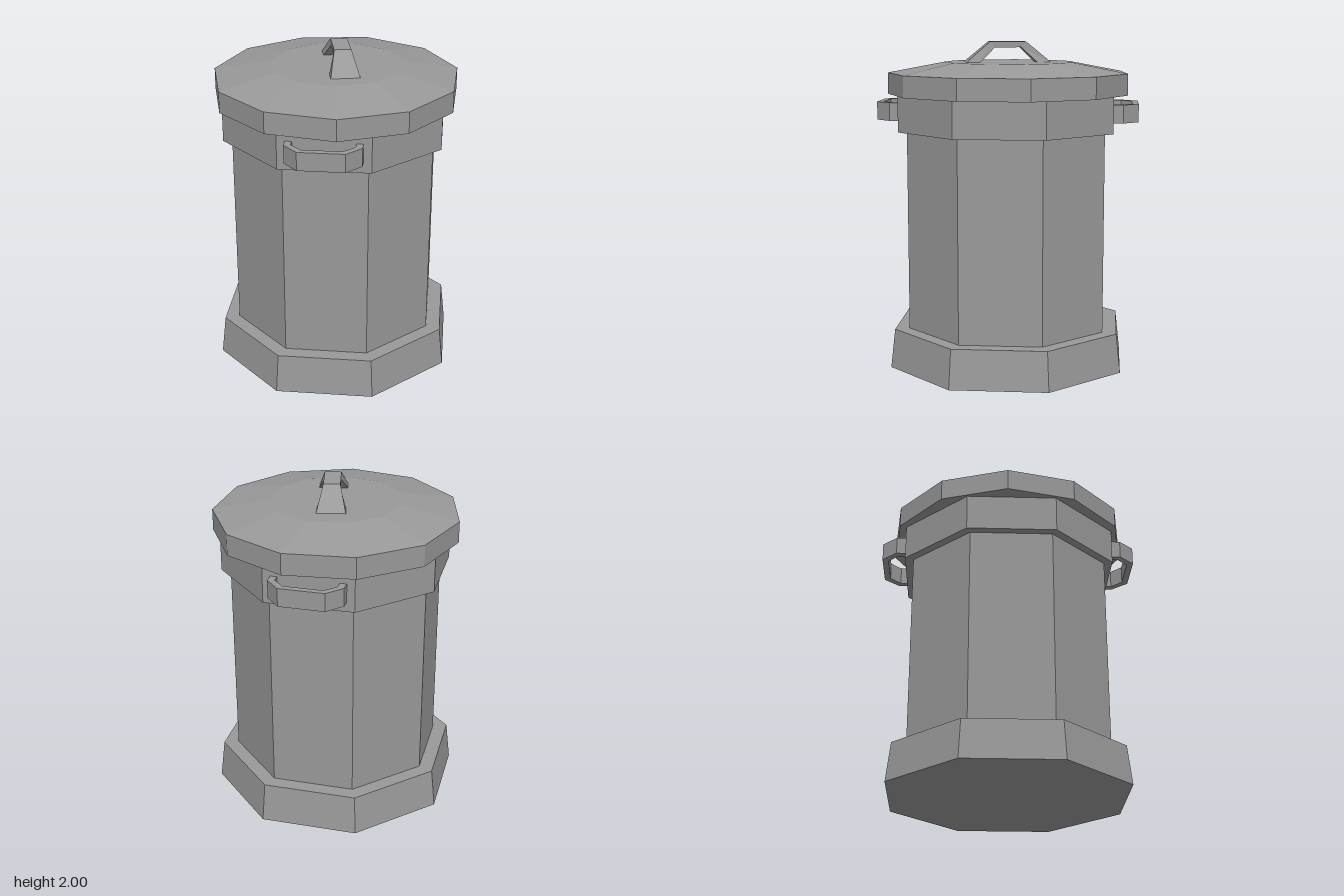
import * as THREE from 'three';

export function createModel() {
  const group = new THREE.Group();
  group.name = 'dustbin';
  const metal = new THREE.MeshStandardMaterial({ color: 0x999999, flatShading: true });
  metal.name = 'grey metal';

  const add = (name, geometry) => {
    const mesh = new THREE.Mesh(geometry, metal);
    mesh.name = name;
    group.add(mesh);
    return mesh;
  };
  const polygon = (points) => new THREE.Shape(points.map(([x, y]) => new THREE.Vector2(x, y)));
  // mirrors a half outline across x = 0
  const mirrored = (outer, inner) => polygon([
    ...outer,
    ...outer.slice().reverse().map(([x, y]) => [-x, y]),
    ...inner.map(([x, y]) => [-x, y]),
    ...inner.slice().reverse(),
  ]);

  // eight-sided base, body and rim
  const drum = (name, rTop, rBottom, y0, y1) => {
    add(name, new THREE.CylinderGeometry(rTop, rBottom, y1 - y0, 8)).position.y = (y0 + y1) / 2;
  };
  drum('base', 0.737, 0.765, 0, 0.24);
  drum('body', 0.645, 0.645, 0.24, 1.46);
  drum('rim', 0.7, 0.7, 1.46, 1.69);

  // eleven-sided lid with a shallow sloped top
  const lidProfile = [[0, 1.68], [0.742, 1.68], [0.742, 1.81], [0.397, 1.875], [0, 1.875]]
    .map(([r, y]) => new THREE.Vector2(r, y));
  add('lid', new THREE.LatheGeometry(lidProfile, 11, Math.PI));

  // lid handle: arched strap that widens towards its feet
  const strap = new THREE.ExtrudeGeometry(
    mirrored([[0.265, 1.87], [0.11, 2]], [[0.18, 1.87], [0.08, 1.965]]),
    { depth: 1, bevelEnabled: false },
  );
  strap.translate(0, 0, -0.5);
  const p = strap.attributes.position;
  for (let i = 0; i < p.count; i++) {
    const up = Math.min(1, (p.getY(i) - 1.87) / 0.095);
    p.setZ(i, p.getZ(i) * THREE.MathUtils.lerp(0.175, 0.1, up));
  }
  strap.rotateY(Math.PI / 2);
  strap.computeVertexNormals();
  const lidHandle = add('lidHandle', strap);
  lidHandle.position.set(0.023, 0, 0.017);
  lidHandle.rotation.y = -0.18;

  // two side handles on opposite faces of the rim
  const grip = new THREE.ExtrudeGeometry(
    mirrored([[0.22, 0.63], [0.22, 0.705], [0.135, 0.797]], [[0.18, 0.63], [0.18, 0.695], [0.115, 0.759]]),
    { depth: 0.11, bevelEnabled: false },
  );
  grip.rotateX(Math.PI / 2);
  ['frontHandle', 'backHandle'].forEach((name, i) => {
    const handle = add(name, grip);
    handle.position.y = 1.635 - i * 0.005;
    handle.rotation.y = -Math.PI / 8 + i * Math.PI;
  });

  return group;
}
